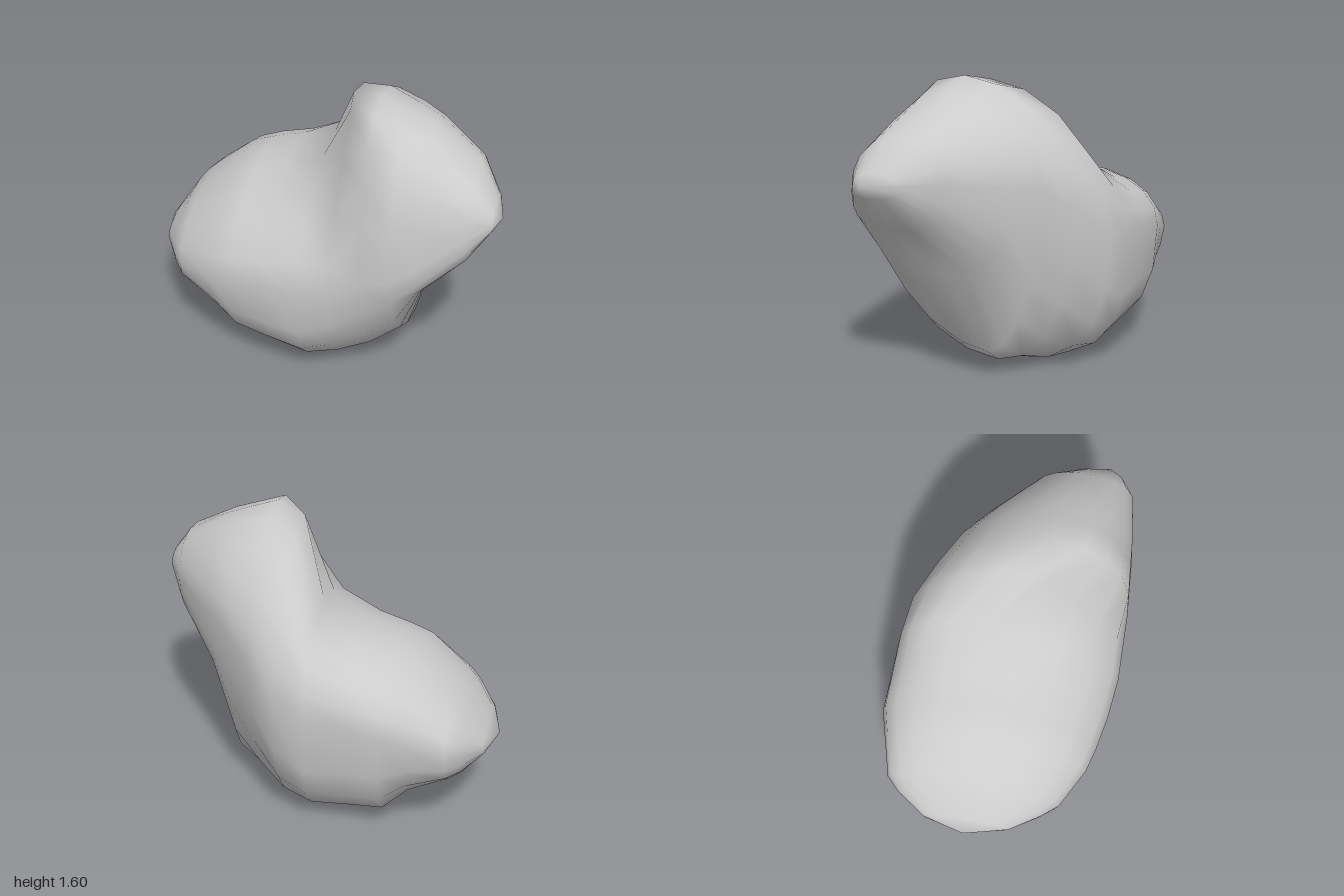
import * as THREE from 'three';

// Key cross-sections along x: [x, bottom z,y, front z,y, top z,y, back z,y]
const SECTIONS = [
  [-0.84, -0.08, 0.33, 0.31, 0.5, -0.12, 0.74, -0.48, 0.57],
  [-0.77, -0.08, 0.29, 0.4, 0.5, -0.12, 0.8, -0.55, 0.6],
  [-0.56, -0.06, 0.18, 0.52, 0.53, -0.12, 0.97, -0.6, 0.66],
  [-0.43, -0.08, 0.04, 0.56, 0.55, -0.12, 1.01, -0.63, 0.7],
  [-0.25, -0.04, 0.02, 0.6, 0.58, -0.14, 1.06, -0.62, 0.72],
  [-0.03, 0, 0, 0.63, 0.6, -0.12, 1.18, -0.61, 0.72],
  [0.14, 0, 0.01, 0.63, 0.65, 0.12, 1.56, -0.58, 0.78],
  [0.31, 0, 0.05, 0.63, 0.72, 0.19, 1.6, -0.46, 0.95],
  [0.47, -0.02, 0.15, 0.62, 0.76, 0.2, 1.54, -0.34, 1.08],
  [0.6, 0.2, 0.6, 0.61, 0.84, 0.2, 1.49, -0.22, 1.1],
  [0.84, 0.36, 0.87, 0.57, 1.05, 0.25, 1.35, 0.03, 1.15],
];
const LEFT_TIP = [-1, 0.5, -0.1];
const RIGHT_TIP = [1, 1.13, 0.42];
const STEPS = 5; // points per quarter of a ring

// One ring: four rounded quarters joining bottom, front, top and back.
// A power below 1 makes a quarter fuller, above 1 more pointed.
function ring([x, bz, by, fz, fy, tz, ty, kz, ky]) {
  const low = x > 0.5 ? 0.75 : 0.68 + Math.max(x, -x / 4);
  const highFront = x > 0.2 ? 0.85 : 1.1 + 4.5 * Math.max(x, 0);
  const highBack = x > 0 ? 1.08 : 0.93;
  const quarters = [
    [bz, by, fz, fy, low, false],
    [tz, ty, fz, fy, highFront, true],
    [tz, ty, kz, ky, highBack, false],
    [bz, by, kz, ky, low, true],
  ];
  const out = [];
  for (const [pz, py, sz, sy, power, reversed] of quarters) {
    for (let i = 0; i < STEPS; i++) {
      const a = ((reversed ? STEPS - i : i) / STEPS) * Math.PI / 2;
      const s = Math.abs(Math.sin(a)) ** power;
      const c = Math.abs(Math.cos(a)) ** power;
      out.push([x, sy + (py - sy) * c, pz + (sz - pz) * s]);
    }
  }
  return out;
}

// A ring shrunk towards a tip: wedge-shaped in height, rounded in depth
function shrink(points, tip, t) {
  return points.map(([x, y, z]) => [
    x + (tip[0] - x) * t,
    y + (tip[1] - y) * t,
    z + (tip[2] - z) * t * t,
  ]);
}

function boulderGeometry() {
  const n = STEPS * 4;
  const body = SECTIONS.map(ring);
  const rings = [
    shrink(body[0], LEFT_TIP, 0.63),
    ...body,
    shrink(body[body.length - 1], RIGHT_TIP, 0.72),
  ];
  const positions = [...rings.flat(), LEFT_TIP, RIGHT_TIP].flat();
  const last = (rings.length - 1) * n;
  const leftTip = last + n;
  const index = [];
  for (let j = 0; j < n; j++) {
    const k = (j + 1) % n;
    // Skin between neighbouring rings
    for (let r = 0; r < last; r += n) {
      index.push(r + j, r + n + j, r + k, r + k, r + n + j, r + n + k);
    }
    // Closing fans at the two tips
    index.push(leftTip, j, k, last + j, leftTip + 1, last + k);
  }
  const geometry = new THREE.BufferGeometry();
  geometry.setAttribute('position', new THREE.Float32BufferAttribute(positions, 3));
  geometry.setIndex(index);
  geometry.computeVertexNormals();
  return geometry;
}

export function createModel() {
  const group = new THREE.Group();
  group.name = 'rock';
  const boulder = new THREE.Mesh(
    boulderGeometry(),
    new THREE.MeshStandardMaterial({ color: 0xcccccc }),
  );
  boulder.name = 'boulder';
  group.add(boulder);
  return group;
}
